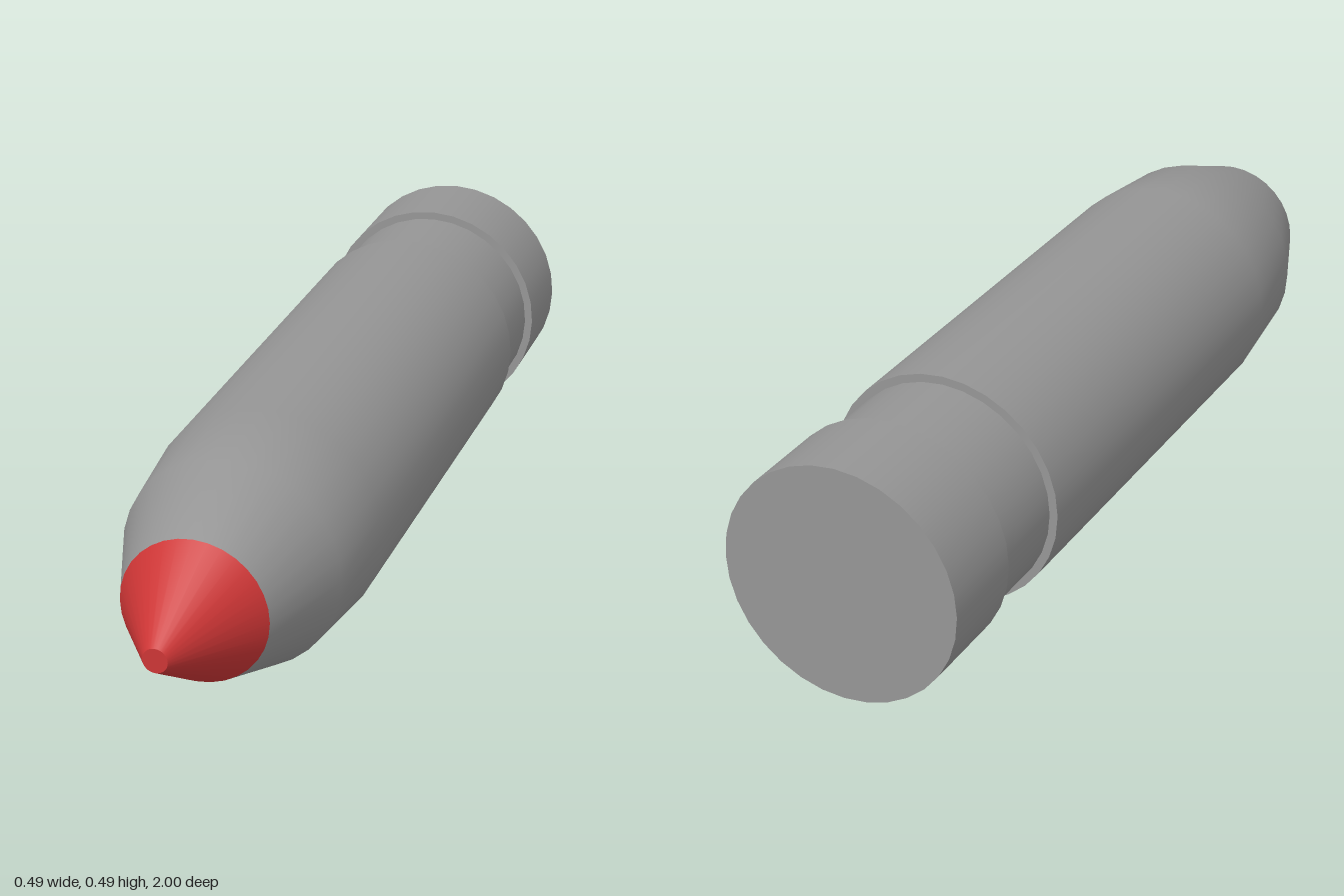
import * as THREE from 'three';

const SIDES = 32;
const R = 0.246;        // body radius, also the height of the axis
const GROOVE_R = 0.229;

export function createModel() {
  const group = new THREE.Group();
  const grey = new THREE.MeshStandardMaterial({ color: 0x959595 });
  const red = new THREE.MeshStandardMaterial({ color: 0xcc3535 });

  // Turned part: profile of [radius, z] pairs from back to front
  const turned = (name, profile, material = grey) => {
    const points = profile.map(([r, z]) => new THREE.Vector2(r, z));
    const geometry = new THREE.LatheGeometry(points, SIDES).rotateX(Math.PI / 2);
    const mesh = new THREE.Mesh(geometry, material);
    mesh.name = name;
    mesh.position.y = R;
    group.add(mesh);
  };

  // Rim at the back, with its flat end and the step down to the groove
  turned('baseCap', [[0, -1], [R, -1]]);
  turned('baseRim', [[R, -1], [R, -0.8]]);
  turned('baseRimStep', [[R, -0.8], [GROOVE_R, -0.8]]);

  // Recessed groove
  turned('groove', [[GROOVE_R, -0.8], [GROOVE_R, -0.6]]);

  // Body, straight and then narrowing smoothly to the nose
  turned('bodyStep', [[GROOVE_R, -0.6], [R, -0.6]]);
  turned('body', [[R, -0.6], [R, 0.4], [0.225, 0.6], [0.15, 0.8]]);

  // Coloured conical tip with a small flat end
  turned('tip', [[0.15, 0.8], [0.025, 1]], red);
  turned('tipEnd', [[0.025, 1], [0, 1]], red);

  return group;
}
